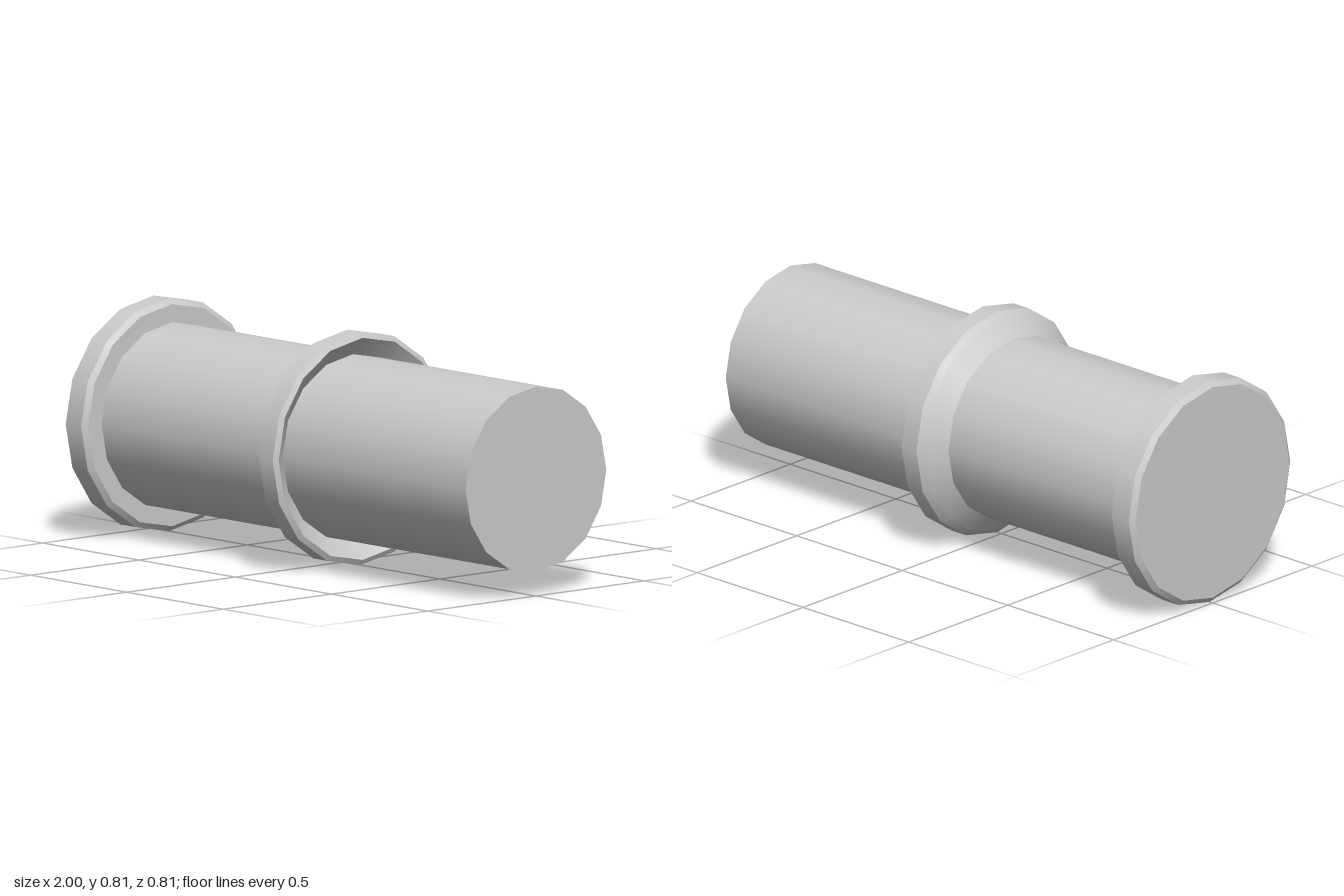
import * as THREE from 'three';
import { mergeGeometries } from 'three/addons/utils/BufferGeometryUtils.js';

const SIDES = 16;
const RIM = 0.407, BEVEL = 0.388, TUBE = 0.325;

// Turns a profile of [x, radius] points about the x axis,
// smooth around the axis and sharp between profile steps.
function turned(name, profile, material) {
  const bands = [];
  for (let i = 0; i < profile.length - 1; i++) {
    const pts = [profile[i], profile[i + 1]].map(([x, r]) => new THREE.Vector2(r, x));
    bands.push(new THREE.LatheGeometry(pts, SIDES));
  }
  const geometry = mergeGeometries(bands);
  geometry.rotateZ(-Math.PI / 2);
  const mesh = new THREE.Mesh(geometry, material);
  mesh.name = name;
  mesh.position.y = RIM;
  return mesh;
}

export function createModel() {
  const group = new THREE.Group();
  group.name = 'pipeFitting';
  const material = new THREE.MeshStandardMaterial({ color: 0xcccccc });

  // Closed tube along the whole length
  group.add(turned('tube', [[-0.89, TUBE], [1, TUBE], [1, 0]], material));

  // Bevelled disc closing the left end
  group.add(turned('endFlange', [
    [-1, 0], [-1, BEVEL], [-0.985, RIM], [-0.905, RIM], [-0.89, BEVEL], [-0.89, TUBE],
  ], material));

  // Middle collar: sloped on one side, dished towards the tube on the other
  group.add(turned('collar', [
    [-0.055, TUBE], [0, BEVEL], [0.02, RIM], [0.09, RIM], [0.1, BEVEL], [0.05, TUBE],
  ], material));

  return group;
}
